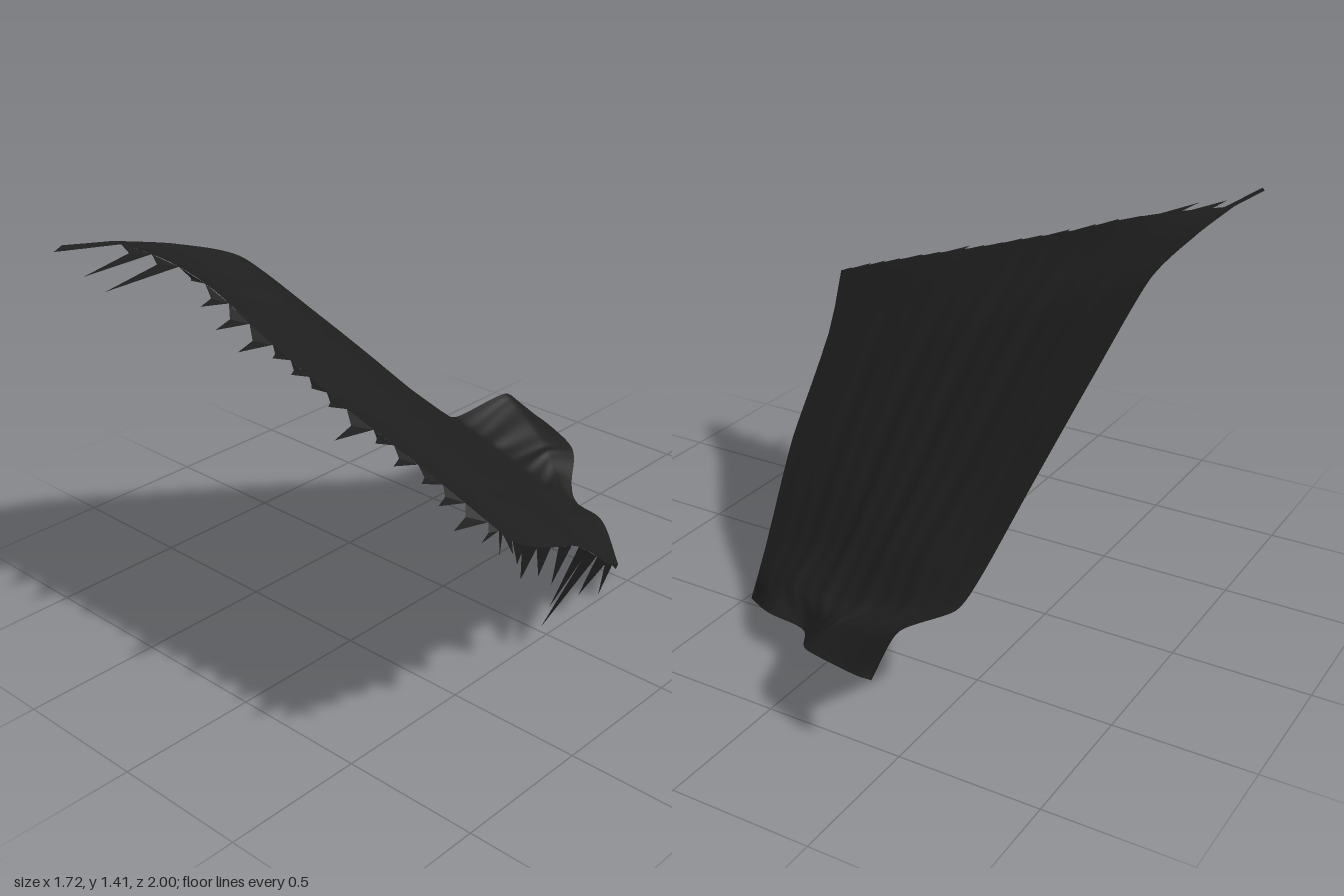
import * as THREE from 'three';

const V = (x, y, z) => new THREE.Vector3(x, y, z);
const spline = (pts, tension) => new THREE.CatmullRomCurve3(pts, false, 'catmullrom', tension);

// Sheet cross-sections from the folded back hem to the torn front hem
const sections = [
  [[-0.40, 0.25, -1.0], [-0.33, 0.25, -1.0], [-0.14, 0.225, -0.94], [-0.06, 0.20, -0.885],
    [0.03, 0.15, -0.755], [0.11, 0.12, -0.69], [0.26, 0.107, -0.655], [0.44, 0.04, -0.52]],
  [[-0.43, 0.375, -0.885], [-0.36, 0.345, -0.87], [-0.17, 0.27, -0.80], [-0.09, 0.24, -0.76],
    [0.01, 0.185, -0.69], [0.11, 0.135, -0.655], [0.27, 0.12, -0.61], [0.45, 0.06, -0.48]],
  [[-0.488, 0.337, -0.63], [-0.26, 0.27, -0.62], [0.0, 0.21, -0.59], [0.24, 0.165, -0.54], [0.475, 0.10, -0.42]],
  [[-0.515, 0.42, -0.50], [-0.25, 0.395, -0.47], [0.0, 0.325, -0.43], [0.25, 0.245, -0.37], [0.51, 0.165, -0.32]],
  [[-0.575, 0.68, -0.26], [0.0, 0.51, -0.20], [0.56, 0.29, -0.17]],
  [[-0.636, 0.945, 0.0], [0.0, 0.70, 0.02], [0.63, 0.43, 0.03]],
  [[-0.705, 1.235, 0.30], [0.0, 0.91, 0.29], [0.71, 0.565, 0.29]],
  [[-0.765, 1.335, 0.55], [0.0, 1.04, 0.53], [0.78, 0.70, 0.52]],
  [[-0.815, 1.39, 0.77], [-0.6, 1.35, 0.71], [-0.4, 1.292, 0.69], [-0.2, 1.215, 0.70], [0.0, 1.148, 0.71],
    [0.2, 1.08, 0.72], [0.43, 1.01, 0.72], [0.65, 0.938, 0.72], [0.86, 0.865, 0.72]],
].map((row) => spline(row.map((p) => V(...p)), 0.5));

const column = (u) => spline(sections.map((c) => c.getPoint(u)), 0.35);

// Point on the cloth, with faint lengthwise ripples that fade at the hems
function clothPoint(col, u, v) {
  const p = col.getPoint(v);
  const fade = Math.sin(Math.PI * v) * Math.sin(Math.PI * u);
  p.y += fade * (0.004 * Math.sin(u * 34 + v * 3) + 0.003 * Math.sin(u * 71 - v * 4));
  return p;
}

function sheetGeometry(nu, nv) {
  const pos = [], index = [];
  for (let i = 0; i <= nu; i++) {
    const col = column(i / nu);
    for (let j = 0; j <= nv; j++) pos.push(...clothPoint(col, i / nu, j / nv).toArray());
  }
  for (let i = 0; i < nu; i++) {
    for (let j = 0; j < nv; j++) {
      const a = i * (nv + 1) + j, b = a + nv + 1;
      index.push(a, a + 1, b, b, a + 1, b + 1);
    }
  }
  const g = new THREE.BufferGeometry();
  g.setAttribute('position', new THREE.Float32BufferAttribute(pos, 3));
  g.setIndex(index);
  g.computeVertexNormals();
  return g;
}

function trianglesGeometry(tris) {
  const g = new THREE.BufferGeometry().setFromPoints(tris.flat());
  g.computeVertexNormals();
  return g;
}

// Finds the hem point closest to a given x
function hemFinder(curve) {
  const pts = curve.getPoints(500);
  return (x) => pts.reduce((a, b) => (Math.abs(b.x - x) < Math.abs(a.x - x) ? b : a));
}

// Torn points along the front hem: tip x and tip z
const frontTips = [
  [-0.71, 0.98], [-0.60, 0.98], [-0.48, 0.72], [-0.365, 0.78], [-0.26, 0.81], [-0.145, 0.82],
  [-0.06, 0.75], [0.03, 0.755], [0.11, 0.745], [0.20, 0.76], [0.315, 0.85], [0.40, 0.76],
  [0.50, 0.785], [0.60, 0.77], [0.69, 0.795], [0.78, 0.83], [0.86, 0.80],
];

function frontFringe() {
  const at = hemFinder(sections[sections.length - 1]);
  const tris = [];
  let valley = at(-0.79);
  for (const [x, z] of frontTips) {
    const base = at(x), next = at(x + 0.04);
    const tip = V(x, base.y - 0.12 * (z - base.z), z);
    const shoulder = V(x - 0.02, base.y - 0.005, base.z + 0.3 * Math.min(0.12, z - base.z));
    tris.push([valley, shoulder, next], [shoulder, tip, next]);
    valley = next;
  }
  // Long pointed corner
  const a = at(-0.815), b = at(-0.78), c = V(-0.86, 1.41, 0.95), d = V(-0.835, 1.405, 1.0);
  tris.push([a, c, d], [a, d, b]);
  return trianglesGeometry(tris);
}

// Torn points hanging forward from the side hem
const sideTips = [
  [0.857, 0.777, 0.71], [0.82, 0.715, 0.60], [0.78, 0.635, 0.53], [0.747, 0.54, 0.47], [0.71, 0.475, 0.33],
  [0.65, 0.35, 0.18], [0.586, 0.20, 0.10], [0.55, 0.10, 0.10], [0.51, 0.09, -0.17], [0.476, 0.0, -0.345],
  [0.45, 0.035, -0.49],
];

function sideFringe() {
  const at = hemFinder(column(1));
  return trianglesGeometry(sideTips.map(([x, y, z]) => [at(x - 0.012), V(x, y, z), at(x + 0.026)]));
}

export function createModel() {
  const group = new THREE.Group();
  group.name = 'tornCloth';
  const cloth = new THREE.MeshStandardMaterial({ color: 0x1e1e1e, side: THREE.DoubleSide });
  cloth.name = 'black cloth';
  const add = (name, geometry) => {
    const mesh = new THREE.Mesh(geometry, cloth);
    mesh.name = name;
    group.add(mesh);
  };
  add('clothSheet', sheetGeometry(110, 96));
  add('frontFringe', frontFringe());
  add('sideFringe', sideFringe());
  return group;
}
